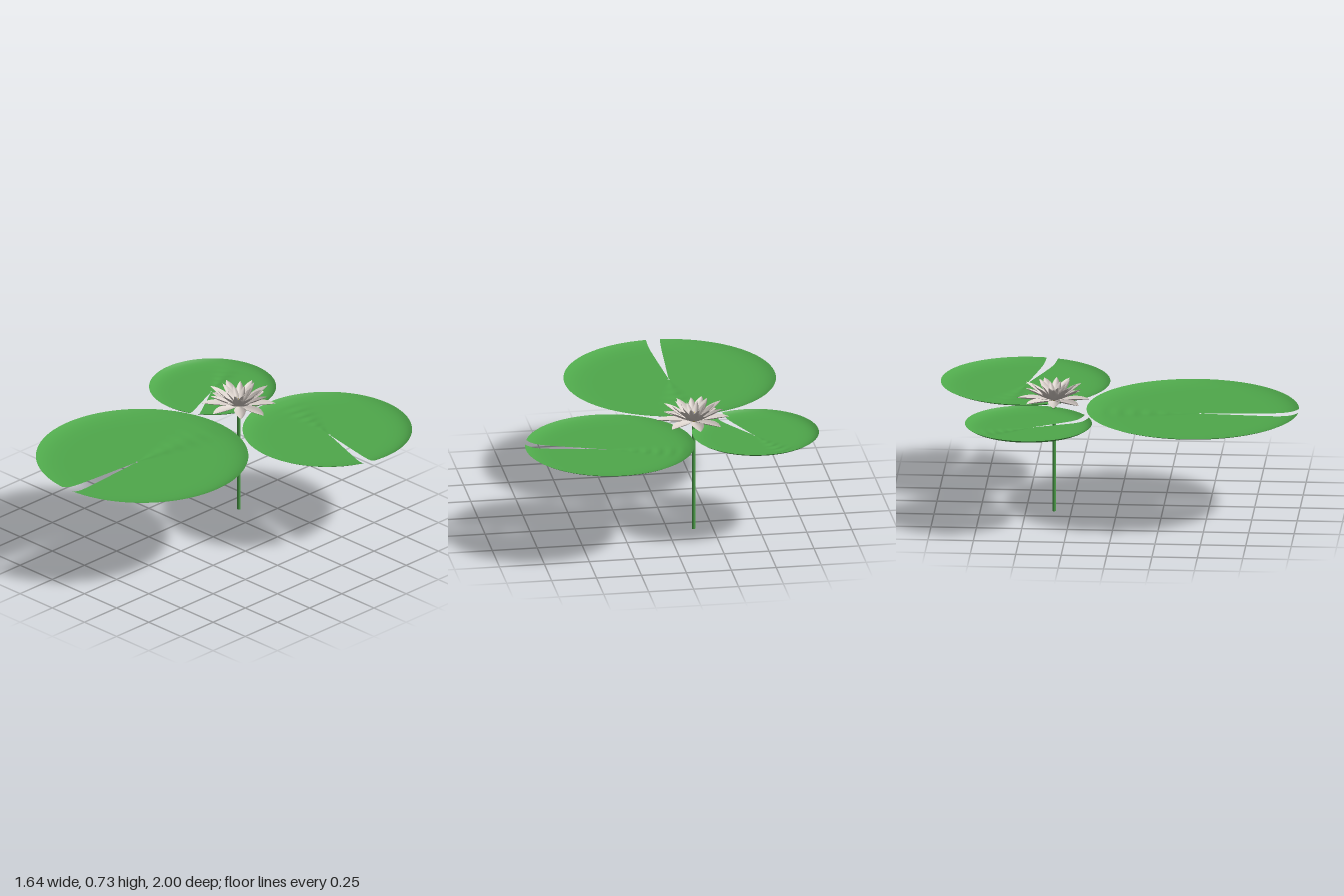
import * as THREE from 'three';

const material = (color) => new THREE.MeshStandardMaterial({ color, side: THREE.DoubleSide });

// Smooth surface from a (rows+1) x (cols+1) grid of points
function gridSurface(rows, cols, point) {
  const positions = [], index = [];
  for (let i = 0; i <= rows; i++)
    for (let j = 0; j <= cols; j++) positions.push(...point(i / rows, j / cols));
  for (let i = 0; i < rows; i++)
    for (let j = 0; j < cols; j++) {
      const a = i * (cols + 1) + j, b = a + cols + 1;
      index.push(a, a + 1, b, b, a + 1, b + 1);
    }
  const geometry = new THREE.BufferGeometry();
  geometry.setAttribute('position', new THREE.Float32BufferAttribute(positions, 3));
  geometry.setIndex(index);
  geometry.computeVertexNormals();
  return geometry;
}

// Round floating leaf, notched from the rim to its apex, with an upturned rim
function padGeometry({ x, z, r, apex, notch, half }) {
  return gridSurface(28, 96, (s, v) => {
    const t = 0.012 + 0.988 * Math.pow(s, 0.75);
    const a = notch - half - v * (2 * Math.PI - 2 * half);
    const px = x + r * Math.cos(a), pz = z + r * Math.sin(a);
    // faint rippled crease on the side opposite the notch
    const crease = Math.exp(-Math.pow((v - 0.5) / 0.03, 2)) * Math.sin(Math.PI * t);
    const y = 0.57 + 0.025 * Math.pow(t, 12) - crease * (0.005 + 0.003 * Math.sin(t * 45));
    return [apex[0] + (px - apex[0]) * t, y, apex[1] + (pz - apex[1]) * t];
  });
}

// Pointed, cupped petal along +x that curves from the centre up to its tip
function petalGeometry(reach, rise, width) {
  return gridSurface(10, 6, (s, v) => {
    const w = 0.5 * width * Math.pow(Math.sin(Math.PI * Math.pow(0.06 + 0.94 * s, 1.15)), 0.8) || 0;
    const side = 1 - 2 * v;
    const cup = 0.5 * w * side * side;
    const lean = rise / Math.hypot(reach, rise);
    return [
      0.012 + (reach - 0.012) * s - cup * lean,
      rise * Math.pow(s, 1.25) + cup * (1 - 0.5 * lean),
      w * side,
    ];
  });
}

export function createModel() {
  const model = new THREE.Group();
  const add = (parent, name, geometry, mat) => {
    const mesh = new THREE.Mesh(geometry, mat);
    mesh.name = name;
    parent.add(mesh);
    return mesh;
  };
  const leaf = material(0x4fa84b);
  const stemGreen = material(0x4c9f49);
  const white = material(0xd9d0ca);
  const yellow = material(0xd8c84a);

  // Lily pads
  const pads = [
    { name: 'largePad', x: -0.134, z: 0.418, r: 0.584, apex: [-0.135, 0.46], notch: 1.57, half: 0.066 },
    { name: 'mediumPad', x: 0.352, z: -0.535, r: 0.466, apex: [0.375, -0.53], notch: 0.255, half: 0.07 },
    { name: 'smallPad', x: -0.47, z: -0.465, r: 0.349, apex: [-0.465, -0.45], notch: 1.1, half: 0.078 },
  ];
  pads.forEach((p) => add(model, p.name, padGeometry(p), leaf));

  // Flower on its stem
  const flower = new THREE.Group();
  flower.name = 'flower';
  flower.position.set(-0.145, 0, -0.345);
  model.add(flower);
  const stem = add(flower, 'stem', new THREE.CylinderGeometry(0.01, 0.01, 0.635, 12), stemGreen);
  stem.position.y = 0.3175;

  // Petal rings from the flat outer ring to the steep inner one
  const rings = [
    { name: 'outerPetal', count: 8, reach: 0.2, rise: 0.014, width: 0.066, y: 0.632, turn: 0.5 },
    { name: 'middlePetal', count: 8, reach: 0.168, rise: 0.082, width: 0.056, y: 0.636, turn: 0 },
    { name: 'innerPetal', count: 8, reach: 0.122, rise: 0.09, width: 0.046, y: 0.638, turn: 0.5 },
    { name: 'heartPetal', count: 8, reach: 0.072, rise: 0.082, width: 0.032, y: 0.642, turn: 0 },
  ];
  for (const ring of rings) {
    const geometry = petalGeometry(ring.reach, ring.rise, ring.width);
    for (let i = 0; i < ring.count; i++) {
      const petal = add(flower, ring.name, geometry, white);
      petal.position.y = ring.y;
      petal.rotation.y = ((i + ring.turn) / ring.count) * 2 * Math.PI + 0.39 + 0.06 * Math.sin(i * 2.4);
      petal.scale.setScalar(1 + 0.03 * Math.sin(i * 1.9 + ring.turn));
    }
  }

  // Yellow heart with a ring of stamens
  const heart = add(flower, 'flowerHeart', new THREE.SphereGeometry(0.018, 16, 10), yellow);
  heart.position.y = 0.645;
  const stamen = new THREE.ConeGeometry(0.003, 0.035, 6);
  for (let i = 0; i < 10; i++) {
    const a = (i / 10) * 2 * Math.PI;
    const mesh = add(flower, 'stamen', stamen, yellow);
    mesh.position.set(0.017 * Math.cos(a), 0.665, 0.017 * Math.sin(a));
    mesh.rotation.set(0.25 * Math.sin(a), 0, -0.25 * Math.cos(a));
  }
  return model;
}
